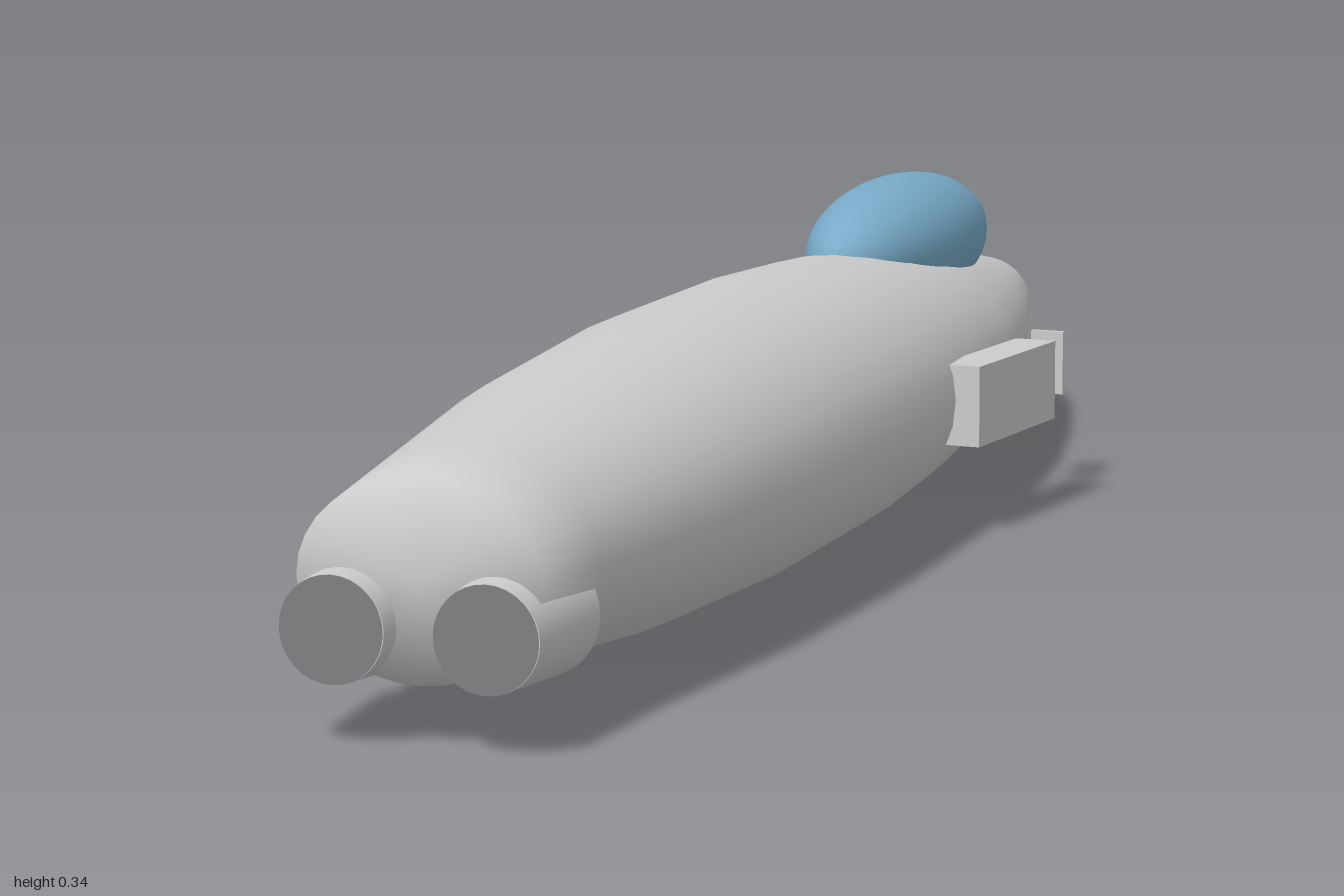
import * as THREE from 'three';

const mat = (color) => new THREE.MeshStandardMaterial({ color });
const grey = mat(0xcccccc);
const glass = mat(0x78aac8);
const dark = mat(0x808084);

// Elliptical hull lofted through rings of [z, halfWidth, bottomY, topY], with smooth end caps
function hullGeometry(rings, seg = 32) {
  const pos = [], index = [];
  for (const [z, w, y0, y1] of rings) {
    for (let i = 0; i < seg; i++) {
      const a = (i / seg) * Math.PI * 2;
      pos.push(w * Math.cos(a), (y0 + y1) / 2 + ((y1 - y0) / 2) * Math.sin(a), z);
    }
  }
  for (let r = 0; r < rings.length - 1; r++) {
    for (let i = 0; i < seg; i++) {
      const j = (i + 1) % seg;
      const a = r * seg + i, b = r * seg + j, c = a + seg, d = b + seg;
      index.push(a, b, d, a, d, c);
    }
  }
  const last = rings.length - 1;
  for (const r of [0, last]) {
    const [z, , y0, y1] = rings[r];
    const centre = pos.length / 3;
    pos.push(0, (y0 + y1) / 2, z);
    for (let i = 0; i < seg; i++) {
      const a = r * seg + i, b = r * seg + ((i + 1) % seg);
      if (r === last) index.push(centre, a, b);
      else index.push(centre, b, a);
    }
  }
  const g = new THREE.BufferGeometry();
  g.setAttribute('position', new THREE.Float32BufferAttribute(pos, 3));
  g.setIndex(index);
  g.computeVertexNormals();
  return g;
}

export function createModel() {
  const model = new THREE.Group();
  model.name = 'jetFuselage';
  const add = (name, geometry, material, x, y, z, parent = model) => {
    const m = new THREE.Mesh(geometry, material);
    m.name = name;
    m.position.set(x, y, z);
    parent.add(m);
    return m;
  };

  // Body, nose (-z) to tail (+z)
  add('fuselage', hullGeometry([
    [-0.935, 0.026, 0.116, 0.168],
    [-0.83, 0.06, 0.091, 0.2],
    [-0.63, 0.109, 0.05, 0.232],
    [-0.4, 0.15, 0.022, 0.258],
    [-0.2, 0.167, 0.008, 0.275],
    [0, 0.174, 0, 0.283],
    [0.3, 0.174, 0.002, 0.283],
    [0.6, 0.157, 0.016, 0.268],
    [0.87, 0.123, 0.042, 0.241],
    [0.975, 0.11, 0.053, 0.23],
  ]), grey, 0, 0, 0);

  // Nose probe
  const probe = new THREE.ConeGeometry(0.022, 0.07, 16);
  probe.rotateX(-Math.PI / 2);
  add('noseProbe', probe, grey, 0, 0.132, -0.965);

  // Bubble canopy
  const canopy = add('canopy', new THREE.SphereGeometry(1, 32, 20), glass, 0, 0.26, -0.46);
  canopy.scale.set(0.08, 0.076, 0.25);

  for (const side of [1, -1]) {
    const label = side > 0 ? 'left' : 'right';

    // Tail nozzle with a dark outlet
    const nozzle = new THREE.CylinderGeometry(0.047, 0.056, 0.12, 32);
    nozzle.rotateX(Math.PI / 2);
    add(label + 'Nozzle', nozzle, grey, side * 0.069, 0.101, 0.938);
    add(label + 'NozzleOutlet', new THREE.CircleGeometry(0.0468, 32), dark, side * 0.069, 0.101, 0.9995);

    // Side intake, splayed outwards at its front end
    const intake = add(label + 'Intake', new THREE.BoxGeometry(0.046, 0.085, 0.212), grey,
      side * 0.189, 0.137, -0.189);
    intake.rotation.y = -side * 0.135;

    // Thin vane ahead of the intake
    const vane = add(label + 'Vane', new THREE.BoxGeometry(0.038, 0.07, 0.007), grey,
      side * 0.19, 0.139, -0.403);
    vane.rotation.y = -side * 0.13;
  }
  return model;
}
